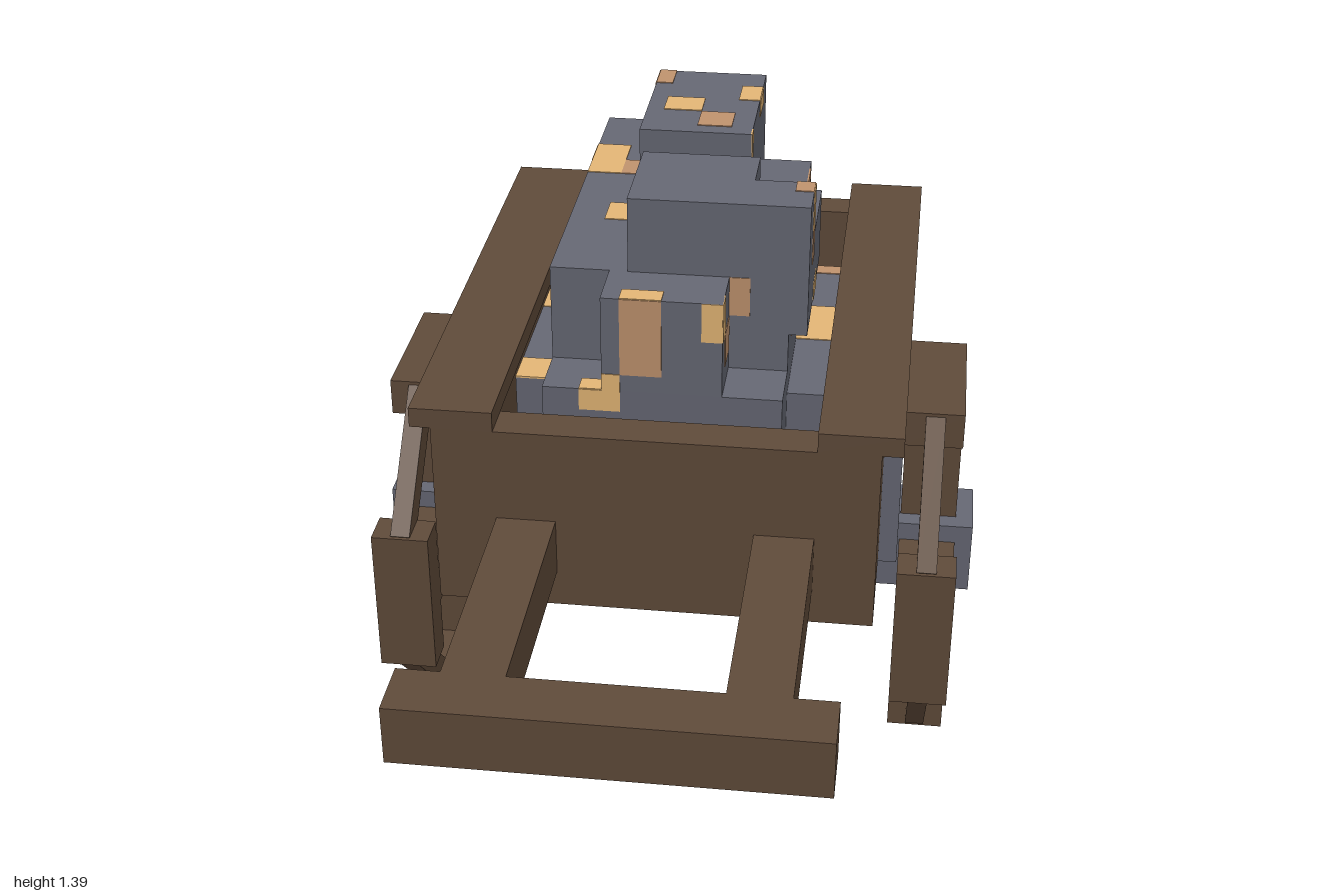
import * as THREE from 'three';

const mat = (name, color) => {
  const m = new THREE.MeshStandardMaterial({ color });
  m.name = name;
  return m;
};

export function createModel() {
  const wood = mat('brown wood', 0x604b3a);
  const grey = mat('grey stone and iron', 0x666874);
  const gold = mat('gold ore', 0xe4b676);
  const copper = mat('copper ore', 0xc0936e);
  const model = new THREE.Group();
  model.name = 'oreCart';

  // Box given by its limits on each axis
  const box = (name, m, x0, x1, y0, y1, z0, z1, parent = model) => {
    const mesh = new THREE.Mesh(new THREE.BoxGeometry(x1 - x0, y1 - y0, z1 - z0), m);
    mesh.position.set((x0 + x1) / 2, (y0 + y1) / 2, (z0 + z1) / 2);
    mesh.name = name;
    parent.add(mesh);
    return mesh;
  };
  // The same box on both sides of the cart
  const pair = (name, m, x0, x1, ...r) => {
    box(name, m, x0, x1, ...r);
    box(name, m, -x1, -x0, ...r);
  };

  // Cart body
  box('floor', wood, -0.39, 0.39, 0.525, 0.61, -0.915, 0.215);
  box('frontBoard', wood, -0.48, 0.48, 0.525, 0.955, 0.215, 0.305);
  box('backBoard', wood, -0.48, 0.48, 0.525, 0.955, -1, -0.915);
  pair('sideBoard', wood, 0.39, 0.48, 0.525, 0.955, -0.915, 0.215);
  pair('sideRail', wood, 0.345, 0.525, 0.955, 1, -1, 0.305);
  pair('frontStrap', grey, 0.48, 0.522, 0.525, 0.955, -0.04, 0.045);
  pair('backStrap', grey, 0.48, 0.522, 0.525, 0.955, -0.735, -0.65);

  // Legs, handles and axle
  pair('leg', wood, 0.215, 0.345, 0, 0.525, -0.87, -0.74);
  pair('handleShaft', wood, 0.215, 0.345, 0.61, 0.74, 0.305, 0.87);
  box('handleBar', wood, -0.435, 0.435, 0.61, 0.74, 0.87, 1);
  box('axle', wood, -0.475, 0.475, 0.35, 0.524, -0.3, -0.13);

  // Eight-sided wheels, built round the hub centre
  for (const side of [-1, 1]) {
    const wheel = new THREE.Group();
    wheel.name = side > 0 ? 'leftWheel' : 'rightWheel';
    wheel.position.set(side * 0.59, 0.435, -0.215);
    model.add(wheel);
    box('hub', grey, side > 0 ? -0.115 : -0.105, side > 0 ? 0.105 : 0.115, -0.087, 0.087, -0.087, 0.087, wheel);
    for (let i = 0; i < 4; i++) {
      const quarter = new THREE.Group();
      quarter.name = 'wheelQuarter';
      quarter.rotation.x = i * Math.PI / 2;
      wheel.add(quarter);
      box('rimBlock', wood, -0.065, 0.065, 0.35, 0.435, -0.174, 0.174, quarter);
      box('spoke', wood, -0.065, 0.065, 0.087, 0.35, -0.043, 0.043, quarter);
      const brace = box('rimBrace', wood, -0.022, 0.022, -0.032, 0.032, -0.178, 0.178, quarter);
      brace.position.set(0, 0.28, 0.28);
      brace.rotation.x = Math.PI / 4;
    }
  }

  // Stone heap
  const heap = new THREE.Group();
  heap.name = 'oreHeap';
  model.add(heap);
  const stones = [
    [-0.26, 0.26, 0.61, 1.0, -0.875, 0.175],
    [-0.345, -0.26, 0.61, 0.945, -0.74, 0.04],
    [0.26, 0.345, 0.61, 0.945, -0.61, 0.04],
    [-0.26, 0.26, 1.0, 1.22, -0.61, 0.04],
    [-0.26, -0.13, 1.05, 1.22, -0.825, -0.61],
    [-0.13, 0.13, 1.0, 1.22, 0.04, 0.175],
    [-0.13, 0.13, 1.05, 1.35, -0.825, -0.44],
    [-0.09, 0.3, 1.09, 1.26, -0.35, 0.042],
    [-0.09, 0.17, 1.26, 1.39, -0.215, 0.042],
    [0.17, 0.3, 1.26, 1.39, -0.09, 0.042],
  ];
  for (const s of stones) box('stone', grey, ...s, heap);

  // Thin ore patches: top (y, x0, x1, z0, z1), end (z, x0, x1, y0, y1), flank (x, z0, z1, y0, y1)
  const t = 0.002;
  const top = (m, y, x0, x1, z0, z1) => box('orePatch', m, x0, x1, y - t, y + t, z0, z1, heap);
  const end = (m, z, x0, x1, y0, y1) => box('orePatch', m, x0, x1, y0, y1, z - t, z + t, heap);
  const flank = (m, x, z0, z1, y0, y1) => box('orePatch', m, x - t, x + t, y0, y1, z0, z1, heap);

  top(gold, 1.35, -0.09, 0, -0.65, -0.57);
  top(gold, 1.35, 0.08, 0.13, -0.74, -0.65);
  top(copper, 1.35, -0.13, -0.09, -0.825, -0.74);
  top(copper, 1.35, 0, 0.08, -0.565, -0.48);
  top(gold, 1.22, -0.26, -0.18, -0.65, -0.48);
  top(copper, 1.22, -0.18, -0.13, -0.56, -0.48);
  top(gold, 1.22, -0.18, -0.09, -0.31, -0.22);
  top(copper, 1.22, 0, 0.17, -0.44, -0.35);
  top(gold, 1.22, 0.08, 0.13, -0.48, -0.44);
  top(copper, 1.26, 0, 0.17, -0.35, -0.31);
  top(copper, 1.26, 0.17, 0.26, -0.31, -0.22);
  top(copper, 1.39, 0.26, 0.3, -0.09, -0.04);
  top(gold, 1.39, 0.26, 0.3, -0.13 + 0.04, -0.06);
  top(gold, 1.22, -0.09, 0, 0.13, 0.175);
  top(gold, 1.0, -0.18, -0.13, 0.13, 0.175);
  top(gold, 0.945, -0.345, -0.26, -0.48, -0.31);
  top(gold, 0.945, -0.345, -0.26, -0.05, 0.04);
  top(gold, 0.945, 0.26, 0.345, -0.39, -0.22);
  top(copper, 0.945, 0.26, 0.345, -0.61, -0.57);
  top(gold, 1.0, -0.26, -0.09, -0.875, -0.83);
  top(gold, 1.0, 0.08, 0.17, -0.875, -0.83);

  end(copper, 0.175, -0.09, 0, 1.04, 1.22);
  end(gold, 0.175, -0.13, -0.09, 1.0, 1.04);
  end(gold, 0.175, -0.18, -0.09, 0.95, 1.0);
  end(gold, 0.175, 0.085, 0.13, 1.13, 1.22);
  end(copper, 0.042, 0.13, 0.175, 1.13, 1.22);
  end(copper, -0.215, 0, 0.08, 1.28, 1.36);
  end(gold, -0.825, -0.13, -0.05, 1.07, 1.15);
  end(gold, -0.825, -0.23, -0.15, 1.11, 1.19);
  end(gold, -0.825, 0.09, 0.13, 1.05, 1.13);
  end(copper, -0.825, 0, 0.08, 1.18, 1.26);
  end(gold, -0.875, -0.13, -0.05, 0.95, 1.0);

  flank(gold, 0.13, 0.13, 0.175, 1.13, 1.22);
  flank(copper, 0.13, 0.05, 0.13, 1.05, 1.13);
  flank(copper, 0.26, -0.13, -0.04, 1.045, 1.09);
  flank(copper, 0.26, -0.565, -0.475, 1.13, 1.22);
  flank(gold, 0.3, -0.215, -0.13, 1.09, 1.13);
  flank(copper, 0.3, -0.09, -0.04, 1.22, 1.3);
  flank(gold, 0.3, -0.09, -0.04, 1.3, 1.39);
  flank(gold, 0.13, -0.475, -0.44, 1.22, 1.35);
  flank(gold, 0.13, -0.74, -0.65, 1.31, 1.35);
  flank(copper, -0.09, -0.13, -0.05, 1.26, 1.34);
  flank(copper, -0.13, -0.825, -0.74, 1.26, 1.35);
  flank(gold, -0.26, -0.39, -0.3, 1.05, 1.13);
  flank(copper, -0.26, -0.2, -0.12, 1.09, 1.17);
  flank(gold, -0.26, -0.65, -0.56, 1.13, 1.22);

  return model;
}
